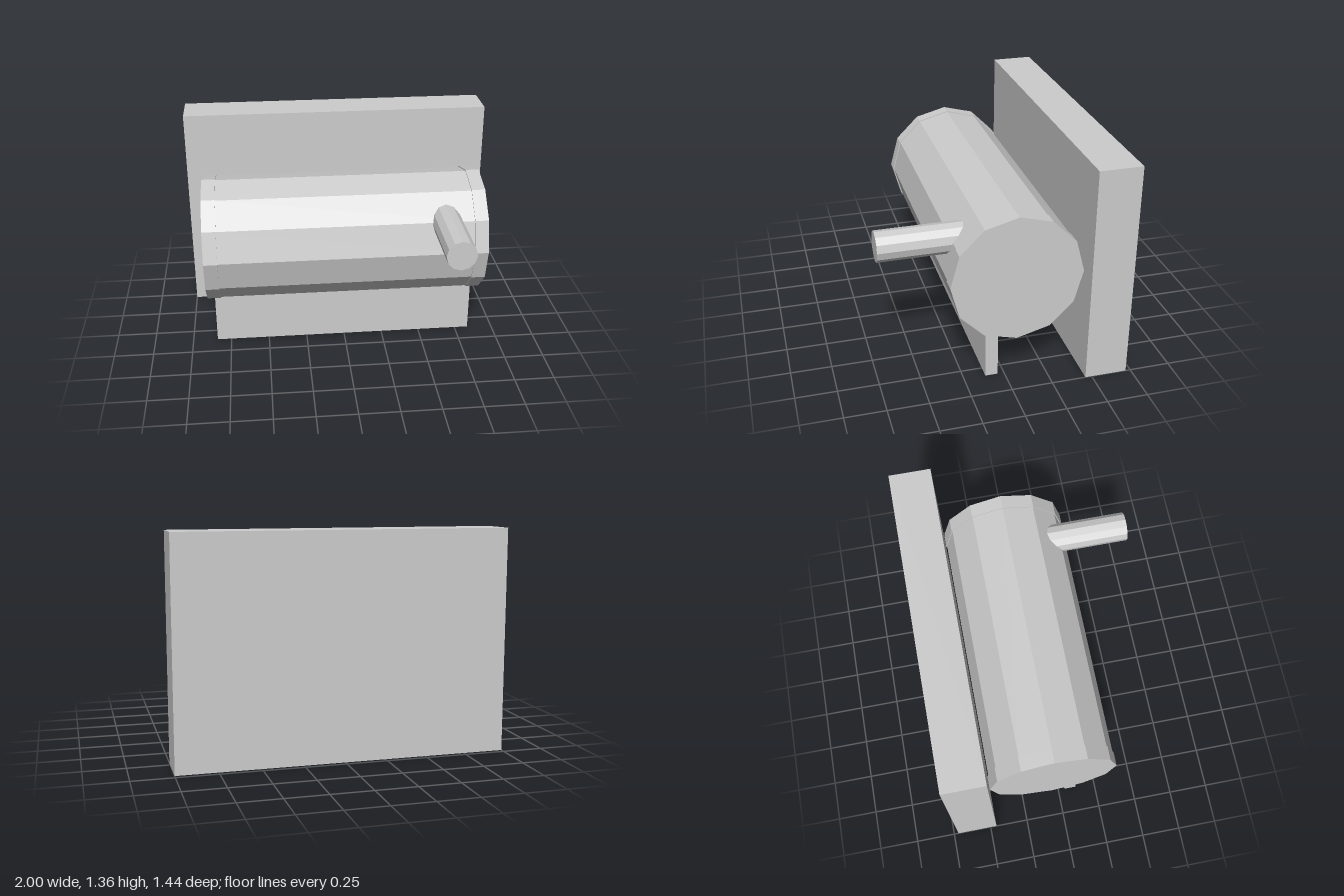
import * as THREE from 'three';

export function createModel() {
  const model = new THREE.Group();
  const grey = new THREE.MeshStandardMaterial({ color: 0xcccccc, flatShading: true });
  grey.name = 'light grey';

  const add = (name, geometry, x, y, z) => {
    const mesh = new THREE.Mesh(geometry, grey);
    mesh.name = name;
    mesh.position.set(x, y, z);
    model.add(mesh);
    return mesh;
  };

  // Upright slab at the back
  add('backPlate', new THREE.BoxGeometry(2, 1.36, 0.26), 0, 0.68, -0.59);

  // Twelve-sided drum lying along x, with a slightly wider cap at each end
  const drumY = 0.68, drumZ = -0.056;
  add('drum', new THREE.CylinderGeometry(0.393, 0.393, 1.6, 12).rotateZ(Math.PI / 2), 0, drumY, drumZ);
  for (const [side, name] of [[1, 'leftEndCap'], [-1, 'rightEndCap']]) {
    add(name, new THREE.CylinderGeometry(0.399, 0.399, 0.086, 12).rotateZ(Math.PI / 2), side * 0.843, drumY, drumZ);
  }

  // Thin plate standing under the drum
  add('lowerPlate', new THREE.BoxGeometry(1.676, 0.365, 0.077), -0.002, 0.1875, 0.081);

  // Round handle pointing forward out of the drum
  add('handle', new THREE.CylinderGeometry(0.0925, 0.0925, 0.58, 12).rotateX(Math.PI / 2), 0.627, 0.8675, 0.43);

  return model;
}
